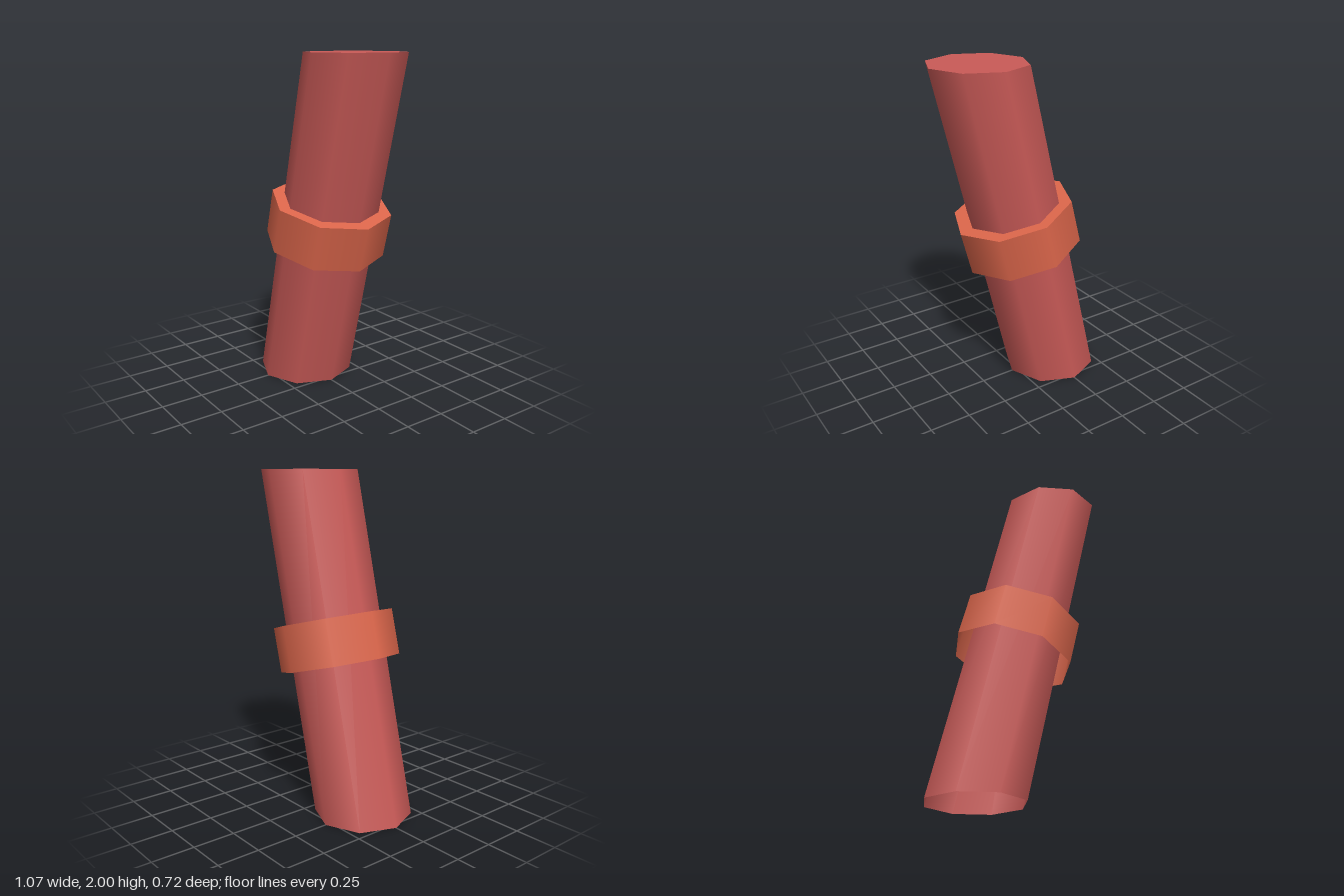
import * as THREE from 'three';
import { mergeGeometries } from 'three/addons/utils/BufferGeometryUtils.js';

const SIDES = 8;

// Eight-sided wall, smooth around, open below, closed above by a flat face
function openTube(radius, height, topFace) {
  const wall = new THREE.CylinderGeometry(radius, radius, height, SIDES, 1, true);
  topFace.rotateX(-Math.PI / 2).translate(0, height / 2, 0);
  return mergeGeometries([wall, topFace]);
}

export function createModel() {
  const model = new THREE.Group();
  model.name = 'leaningPipe';

  const pipeRed = new THREE.MeshStandardMaterial({ color: 0xc95a57, side: THREE.DoubleSide });
  pipeRed.name = 'pipe red';
  const collarOrange = new THREE.MeshStandardMaterial({ color: 0xdc664b, side: THREE.DoubleSide });
  collarOrange.name = 'collar orange';

  // Pipe: leans toward +x by shearing, so both ends stay level
  const pipeGeometry = openTube(0.287, 2, new THREE.CircleGeometry(0.287, SIDES));
  pipeGeometry.applyMatrix4(new THREE.Matrix4().set(
    1, 0.25, 0, 0,
    0, 1, 0, 0,
    0, 0, 1, 0,
    0, 0, 0, 1));
  const pipe = new THREE.Mesh(pipeGeometry, pipeRed);
  pipe.name = 'pipe';
  pipe.position.y = 1;
  model.add(pipe);

  // Collar: tilted square to the pipe's lean, its upper rim reaching in to the pipe
  const rim = new THREE.RingGeometry(0.265, 0.358, SIDES);
  const collar = new THREE.Mesh(openTube(0.358, 0.27, rim), collarOrange);
  collar.name = 'collar';
  collar.position.y = 1.003;
  collar.rotation.z = -THREE.MathUtils.degToRad(15);
  model.add(collar);

  return model;
}
